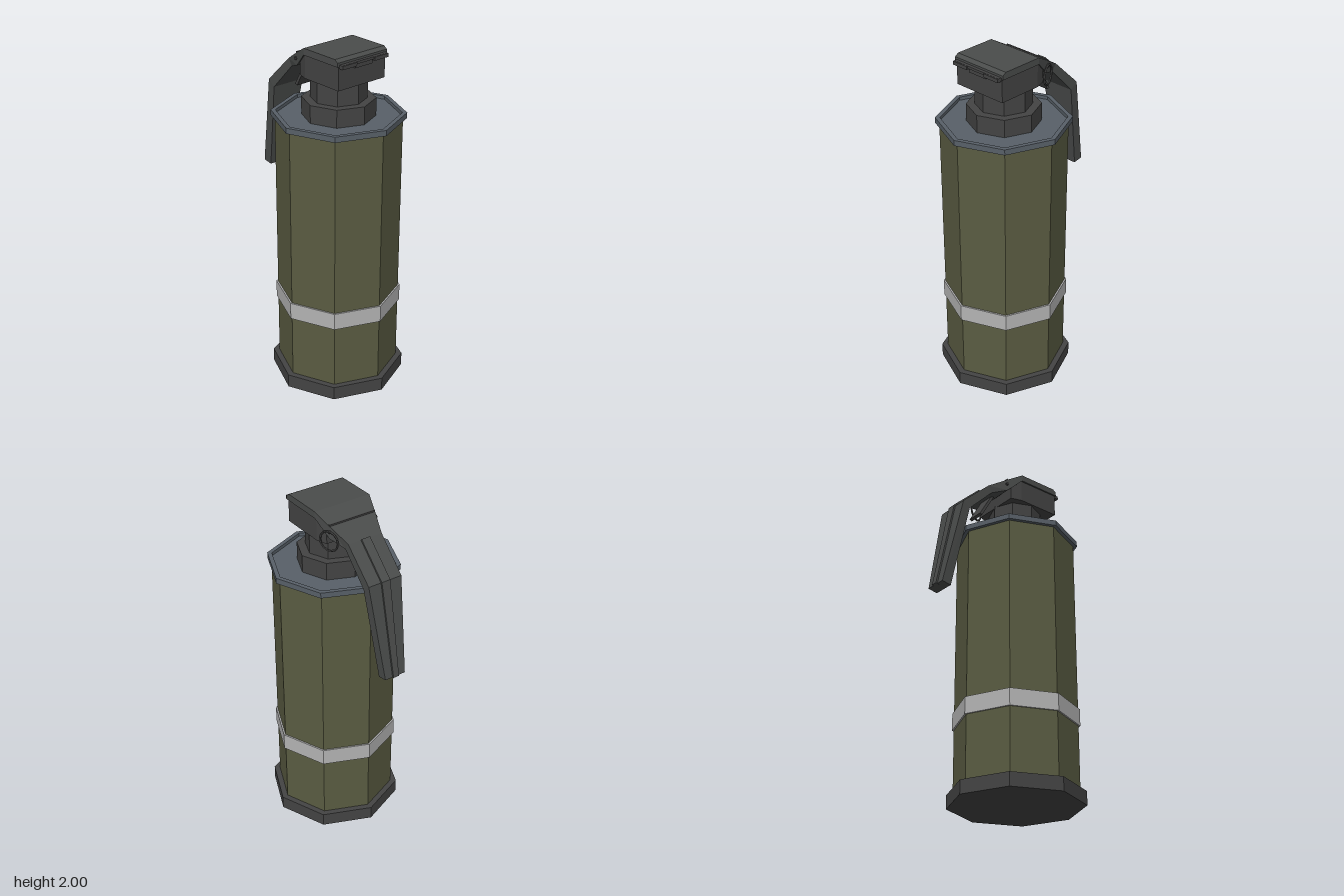
import * as THREE from 'three';

const AXIS_Z = 0.1; // the canister sits slightly forward, the lever hangs behind

const mat = (color, extra = {}) => new THREE.MeshStandardMaterial({ color, flatShading: true, ...extra });

// Octagonal turned part from [radius, y] points
function octagon(points, material, name) {
  const geo = new THREE.LatheGeometry(points.map(([r, y]) => new THREE.Vector2(r, y)), 8);
  const mesh = new THREE.Mesh(geo, material);
  mesh.position.z = AXIS_Z;
  mesh.name = name;
  return mesh;
}

const drum = (r, y0, y1, material, name) =>
  octagon([[0, y0], [r, y0], [r, y1], [0, y1]], material, name);

// Solid strip running front to back; each section is
// [outer z, outer y, inner z, inner y, half width]
function strip(sections, material, name) {
  const pos = [];
  const quad = (a, b, c, d) => pos.push(...a, ...b, ...c, ...a, ...c, ...d);
  const rings = sections.map(([zo, yo, zi, yi, w]) =>
    [[-w, yo, zo], [w, yo, zo], [w, yi, zi], [-w, yi, zi]]);
  for (let i = 0; i < rings.length - 1; i++) {
    const a = rings[i], b = rings[i + 1];
    for (let k = 0; k < 4; k++) {
      const n = (k + 1) % 4;
      quad(a[k], a[n], b[n], b[k]);
    }
  }
  const first = rings[0], last = rings[rings.length - 1];
  quad(first[3], first[2], first[1], first[0]);
  quad(last[0], last[1], last[2], last[3]);
  const geo = new THREE.BufferGeometry();
  geo.setAttribute('position', new THREE.Float32BufferAttribute(pos, 3));
  geo.computeVertexNormals();
  const mesh = new THREE.Mesh(geo, material);
  mesh.name = name;
  return mesh;
}

function box(w, h, d, x, y, z, material, name) {
  const mesh = new THREE.Mesh(new THREE.BoxGeometry(w, h, d), material);
  mesh.position.set(x, y, z);
  mesh.name = name;
  return mesh;
}

export function createModel() {
  const model = new THREE.Group();
  model.name = 'canister';
  const olive = mat(0x5a5c42);
  const dark = mat(0x444444);
  const steel = mat(0x586068);
  const leverGrey = mat(0x4a4c4b);
  const pale = mat(0xb4b4b4);

  // Canister body
  model.add(
    drum(0.385, 0, 0.08, dark, 'baseCap'),
    drum(0.35, 0.08, 1.6, olive, 'body'),
    octagon([[0.34, 0.455], [0.36, 0.455], [0.36, 0.555], [0.34, 0.555]], pale, 'band'),
    octagon([[0.33, 1.595], [0.372, 1.595], [0.372, 1.627], [0.346, 1.627],
      [0.346, 1.608], [0, 1.608]], steel, 'topRim'),
  );

  // Fuse neck and head
  model.add(
    drum(0.204, 1.6, 1.71, dark, 'neckCollar'),
    drum(0.156, 1.71, 1.84, dark, 'neck'),
    strip([
      [0.28, 1.97, 0.28, 1.83, 0.166],
      [0.015, 1.97, 0.015, 1.83, 0.166],
      [-0.05, 1.945, -0.05, 1.83, 0.145],
    ], dark, 'fuseHead'),
  );

  // Safety lever: cover plate over the head, then the bent handle
  model.add(
    strip([
      [0.283, 1.985, 0.283, 1.962, 0.175],
      [0.262, 2.0, 0.262, 1.962, 0.175],
      [0.015, 2.0, 0.015, 1.962, 0.175],
      [-0.075, 1.948, -0.075, 1.875, 0.147],
      [-0.19, 1.88, -0.165, 1.84, 0.107],
      [-0.37, 1.71, -0.325, 1.675, 0.105],
      [-0.478, 1.17, -0.42, 1.16, 0.065],
    ], leverGrey, 'safetyLever'),
    strip([
      [-0.197, 1.888, -0.185, 1.86, 0.027],
      [-0.378, 1.716, -0.36, 1.69, 0.027],
      [-0.488, 1.172, -0.465, 1.167, 0.018],
    ], leverGrey, 'leverRidge'),
    box(0.292, 0.012, 0.008, 0, 1.948, -0.075, dark, 'leverSeam'),
  );

  // Front hinge bar with two hooks and a centre tab
  model.add(
    box(0.326, 0.014, 0.03, 0, 1.966, 0.287, dark, 'hingeBar'),
    box(0.12, 0.035, 0.014, 0, 1.953, 0.287, dark, 'centreTab'),
  );
  for (const side of [-1, 1]) {
    model.add(box(0.1, 0.02, 0.024, side * 0.113, 1.962, 0.298, dark, 'hingeHook'));
  }

  // Striker tail under the lever
  model.add(strip([
    [-0.1, 1.9, -0.085, 1.895, 0.05],
    [-0.207, 1.713, -0.19, 1.707, 0.05],
  ], dark, 'strikerTail'));

  // Pull ring and its pin
  const ring = new THREE.Mesh(new THREE.TorusGeometry(0.056, 0.006, 5, 14), dark);
  ring.position.set(0.152, 1.863, -0.08);
  ring.rotation.y = -1.18;
  ring.name = 'pullRing';
  const pin = new THREE.Mesh(new THREE.CylinderGeometry(0.009, 0.009, 0.31, 6), dark);
  pin.rotation.z = Math.PI / 2;
  pin.position.set(0, 1.915, -0.08);
  pin.name = 'safetyPin';
  model.add(ring, pin);

  return model;
}
